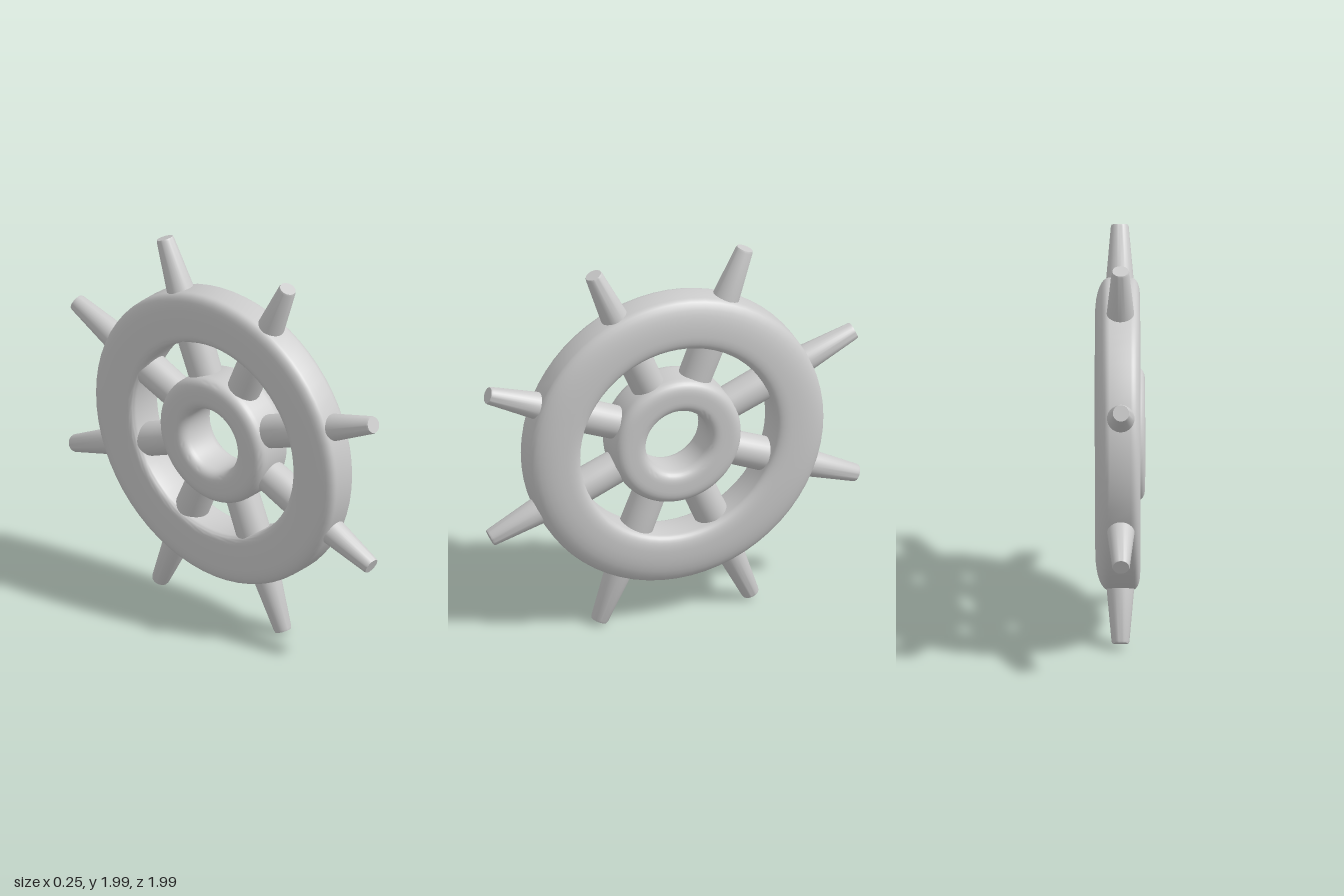
import * as THREE from 'three';
import { toCreasedNormals } from 'three/addons/utils/BufferGeometryUtils.js';

const material = new THREE.MeshStandardMaterial({ color: 0xcccccc });

// Ring around the x axis from a closed cross-section drawn as (radius, x)
function ring(name, section) {
  const geometry = new THREE.LatheGeometry(section.getPoints(8), 64);
  geometry.rotateZ(-Math.PI / 2);
  const mesh = new THREE.Mesh(toCreasedNormals(geometry, 0.7), material);
  mesh.name = name;
  return mesh;
}

// Wide rim, with a fuller curve on its left (+x) face
function makeRim() {
  const s = new THREE.Path();
  s.moveTo(0.52, 0);
  s.lineTo(0.52, -0.065);
  s.quadraticCurveTo(0.525, -0.1, 0.57, -0.1);
  s.lineTo(0.69, -0.1);
  s.quadraticCurveTo(0.785, -0.1, 0.785, -0.05);
  s.lineTo(0.785, 0.055);
  s.bezierCurveTo(0.785, 0.09, 0.72, 0.125, 0.6, 0.125);
  s.quadraticCurveTo(0.525, 0.125, 0.52, 0.085);
  s.lineTo(0.52, 0);
  return ring('rim', s);
}

// Hub with rounded edges and an open bore
function makeHub() {
  const s = new THREE.Path();
  s.moveTo(0.168, 0);
  s.lineTo(0.168, -0.07);
  s.quadraticCurveTo(0.172, -0.125, 0.23, -0.125);
  s.lineTo(0.27, -0.125);
  s.quadraticCurveTo(0.34, -0.125, 0.34, -0.065);
  s.lineTo(0.34, 0.06);
  s.quadraticCurveTo(0.34, 0.12, 0.27, 0.12);
  s.lineTo(0.23, 0.12);
  s.quadraticCurveTo(0.172, 0.12, 0.168, 0.07);
  s.lineTo(0.168, 0);
  return ring('hub', s);
}

// Round spoke running through the rim and ending in a tapered handle
function makeSpokeGeometry() {
  const profile = [
    [0.085, 0.25], [0.087, 0.42], [0.088, 0.54], [0.08, 0.66],
    [0.07, 0.77], [0.045, 1.045], [0.041, 1.055], [0, 1.055],
  ].map(([r, y]) => new THREE.Vector2(r, y));
  return toCreasedNormals(new THREE.LatheGeometry(profile, 32), 0.6);
}

export function createModel() {
  const model = new THREE.Group();
  model.name = 'shipWheel';

  const wheel = new THREE.Group();
  wheel.name = 'wheel';
  wheel.position.y = 1;
  wheel.add(makeRim(), makeHub());

  // Eight spokes, turned slightly off the symmetric position
  const spokeGeometry = makeSpokeGeometry();
  for (let i = 0; i < 8; i++) {
    const spoke = new THREE.Mesh(spokeGeometry, material);
    spoke.name = `spoke${i + 1}`;
    spoke.rotation.x = THREE.MathUtils.degToRad(23.4 + 45 * i);
    wheel.add(spoke);
  }

  model.add(wheel);
  return model;
}
